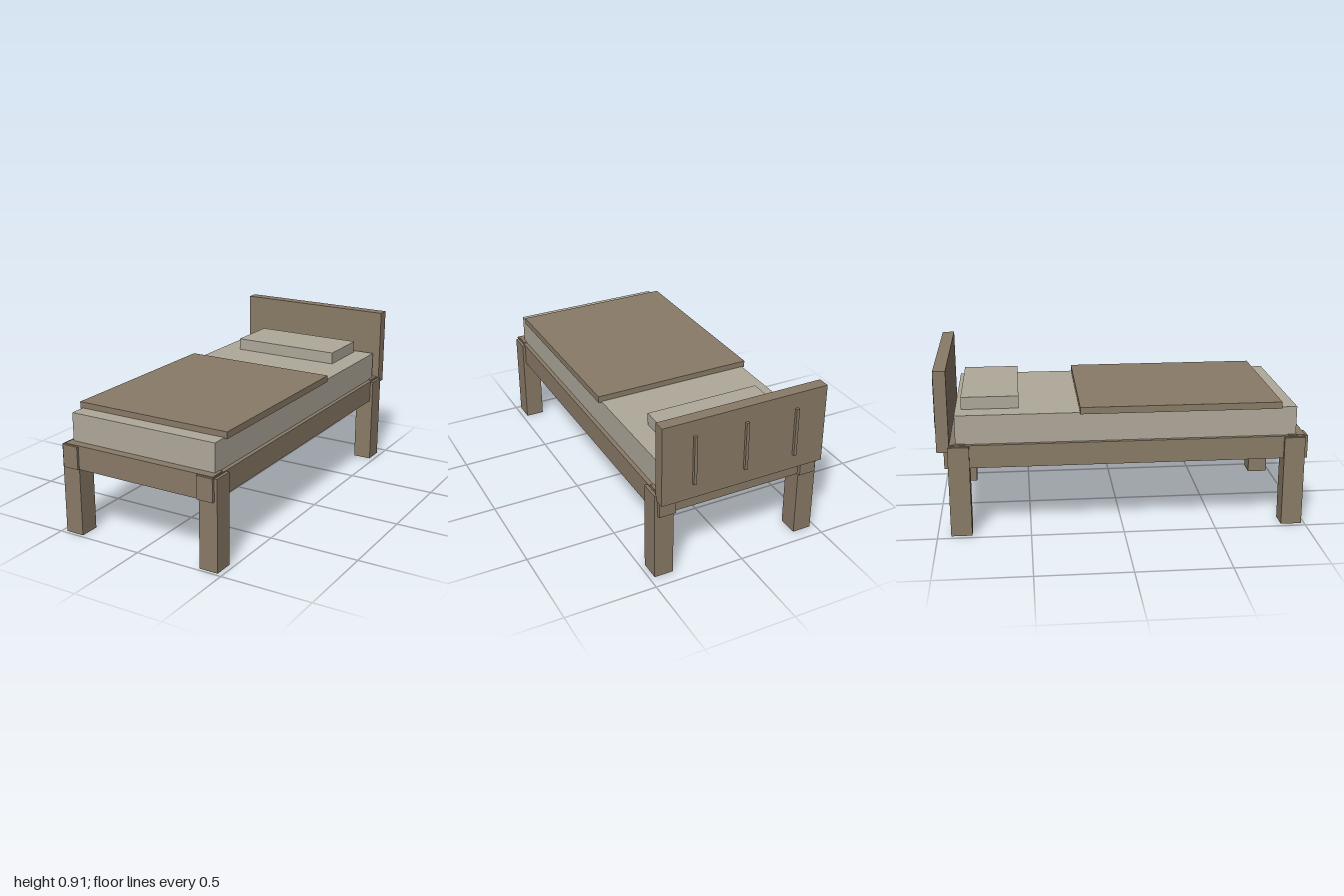
import * as THREE from 'three';

export function createModel() {
  const wood = new THREE.MeshStandardMaterial({ color: 0x8a7b67 });
  wood.name = 'wood brown';
  const linen = new THREE.MeshStandardMaterial({ color: 0xb0a99b });
  linen.name = 'linen grey';

  const bed = new THREE.Group();
  bed.name = 'bed';

  // Box given by its extents along each axis
  function box(name, material, [x0, x1], [y0, y1], [z0, z1]) {
    const mesh = new THREE.Mesh(new THREE.BoxGeometry(x1 - x0, y1 - y0, z1 - z0), material);
    mesh.position.set((x0 + x1) / 2, (y0 + y1) / 2, (z0 + z1) / 2);
    mesh.name = name;
    bed.add(mesh);
  }

  // Legs and long side rails, mirrored left and right
  for (const [side, s] of [['left', 1], ['right', -1]]) {
    const span = (a, b) => (s > 0 ? [a, b] : [-b, -a]);
    box(side + 'FrontLeg', wood, span(0.367, 0.472), [0, 0.498], [0.87, 0.983]);
    box(side + 'BackLeg', wood, span(0.367, 0.472), [0, 0.498], [-0.928, -0.815]);
    box(side + 'Rail', wood, span(0.364, 0.456), [0.378, 0.503], [-0.947, 1]);
  }

  // End rails, slightly proud of the side rails
  box('frontRail', wood, [-0.45, 0.45], [0.376, 0.507], [0.895, 0.987]);
  box('backRail', wood, [-0.45, 0.45], [0.376, 0.507], [-0.925, -0.835]);

  // Slats under the mattress
  for (let i = 0; i < 9; i++) {
    const z = -0.74 + i * 0.19;
    box('slat' + (i + 1), wood, [-0.4, 0.4], [0.45, 0.5], [z - 0.055, z + 0.055]);
  }

  // Headboard with three thin battens on the back
  box('headboard', wood, [-0.463, 0.463], [0.47, 0.91], [-0.984, -0.918]);
  for (const x of [-0.287, 0, 0.287]) {
    box('headboardBatten', wood, [x - 0.008, x + 0.008], [0.555, 0.825], [-1, -0.98]);
  }

  // Bedding
  box('mattress', linen, [-0.433, 0.433], [0.495, 0.661], [-0.887, 0.938]);
  box('blanket', wood, [-0.449, 0.449], [0.656, 0.693], [-0.228, 0.852]);
  box('pillow', linen, [-0.319, 0.319], [0.655, 0.728], [-0.855, -0.549]);

  return bed;
}
